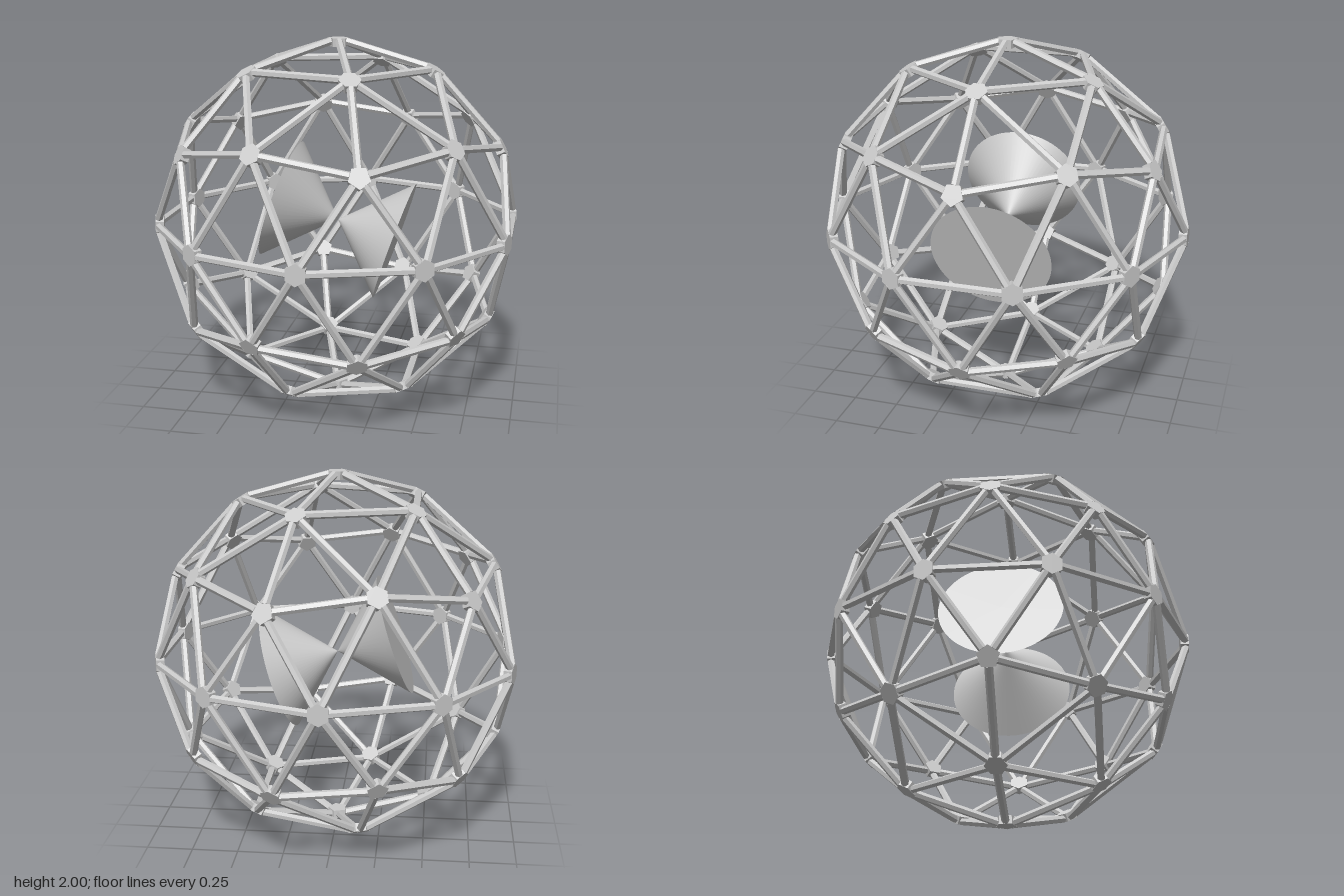
import * as THREE from 'three';
import { ConvexGeometry } from 'three/addons/geometries/ConvexGeometry.js';

const HUB_OUT = 1.0, HUB_IN = 0.955, HUB_R = 0.058;
const STRUT_MID = 0.995, STRUT_R = 0.021, STRUT_GAP = 0.045;
const CONE = 0.336, CONE_TILT = 0.321;

// Unique nodes of a two-frequency geodesic sphere, turned so a five-way node is on top
function geodesicNodes() {
  const geo = new THREE.IcosahedronGeometry(1, 1);
  geo.rotateZ(-Math.atan(2 / (1 + Math.sqrt(5))));
  const pos = geo.getAttribute('position'), nodes = [];
  for (let i = 0; i < pos.count; i++) {
    const p = new THREE.Vector3().fromBufferAttribute(pos, i);
    if (!nodes.some(n => n.distanceTo(p) < 0.01)) nodes.push(p);
  }
  return nodes;
}

// Flat plate whose corners lie between the struts that meet there
function hubGeometry(node, neighbours) {
  const u = neighbours[0].clone().projectOnPlane(node).normalize();
  const v = new THREE.Vector3().crossVectors(node, u);
  const angles = neighbours.map(n => Math.atan2(n.dot(v), n.dot(u))).sort((a, b) => a - b);
  const points = [];
  angles.forEach((a, i) => {
    const next = i + 1 < angles.length ? angles[i + 1] : angles[0] + 2 * Math.PI;
    const mid = (a + next) / 2;
    // the plate narrows inward in step with the struts
    for (const r of [HUB_OUT, HUB_IN]) {
      points.push(node.clone()
        .addScaledVector(u, HUB_R * Math.cos(mid))
        .addScaledVector(v, HUB_R * Math.sin(mid))
        .multiplyScalar(r)
      );
    }
  });
  return new ConvexGeometry(points);
}

// Six-sided bar between two hubs, its outward flat flush with the hub faces
function strutMesh(a, b, material) {
  const axis = b.clone().sub(a).normalize();
  const out = a.clone().add(b).normalize();
  const side = new THREE.Vector3().crossVectors(out, axis);
  const length = a.distanceTo(b) * STRUT_MID - 2 * STRUT_GAP;
  const mesh = new THREE.Mesh(new THREE.CylinderGeometry(STRUT_R, STRUT_R, length, 6), material);
  mesh.quaternion.setFromRotationMatrix(new THREE.Matrix4().makeBasis(out, axis, side));
  mesh.position.copy(a).add(b).multiplyScalar(STRUT_MID / 2);
  mesh.name = 'strut';
  return mesh;
}

export function createModel() {
  const model = new THREE.Group();
  model.name = 'geodesicSphere';
  const faceted = new THREE.MeshStandardMaterial({ color: 0xcccccc, flatShading: true });
  const smooth = new THREE.MeshStandardMaterial({ color: 0xcccccc });

  const struts = new THREE.Group();
  struts.name = 'struts';
  const hubs = new THREE.Group();
  hubs.name = 'hubs';
  const nodes = geodesicNodes();
  nodes.forEach((node, i) => {
    const near = nodes.filter(n => n !== node && n.distanceTo(node) < 0.65);
    const hub = new THREE.Mesh(hubGeometry(node, near), faceted);
    hub.name = 'hub';
    hubs.add(hub);
    for (const n of near) {
      if (nodes.indexOf(n) > i) struts.add(strutMesh(node, n, faceted));
    }
  });

  // Two solid cones meeting tip to tip at the centre
  const coneGeo = new THREE.ConeGeometry(CONE, CONE, 64);
  coneGeo.translate(0, -CONE / 2, 0);
  const cones = new THREE.Group();
  cones.name = 'cones';
  for (const [name, turn] of [['leftCone', 0], ['rightCone', Math.PI]]) {
    const cone = new THREE.Mesh(coneGeo, smooth);
    cone.rotation.z = Math.PI / 2 - CONE_TILT + turn;
    cone.name = name;
    cones.add(cone);
  }

  model.add(struts, hubs, cones);
  for (const part of model.children) part.position.y = 1;
  return model;
}
